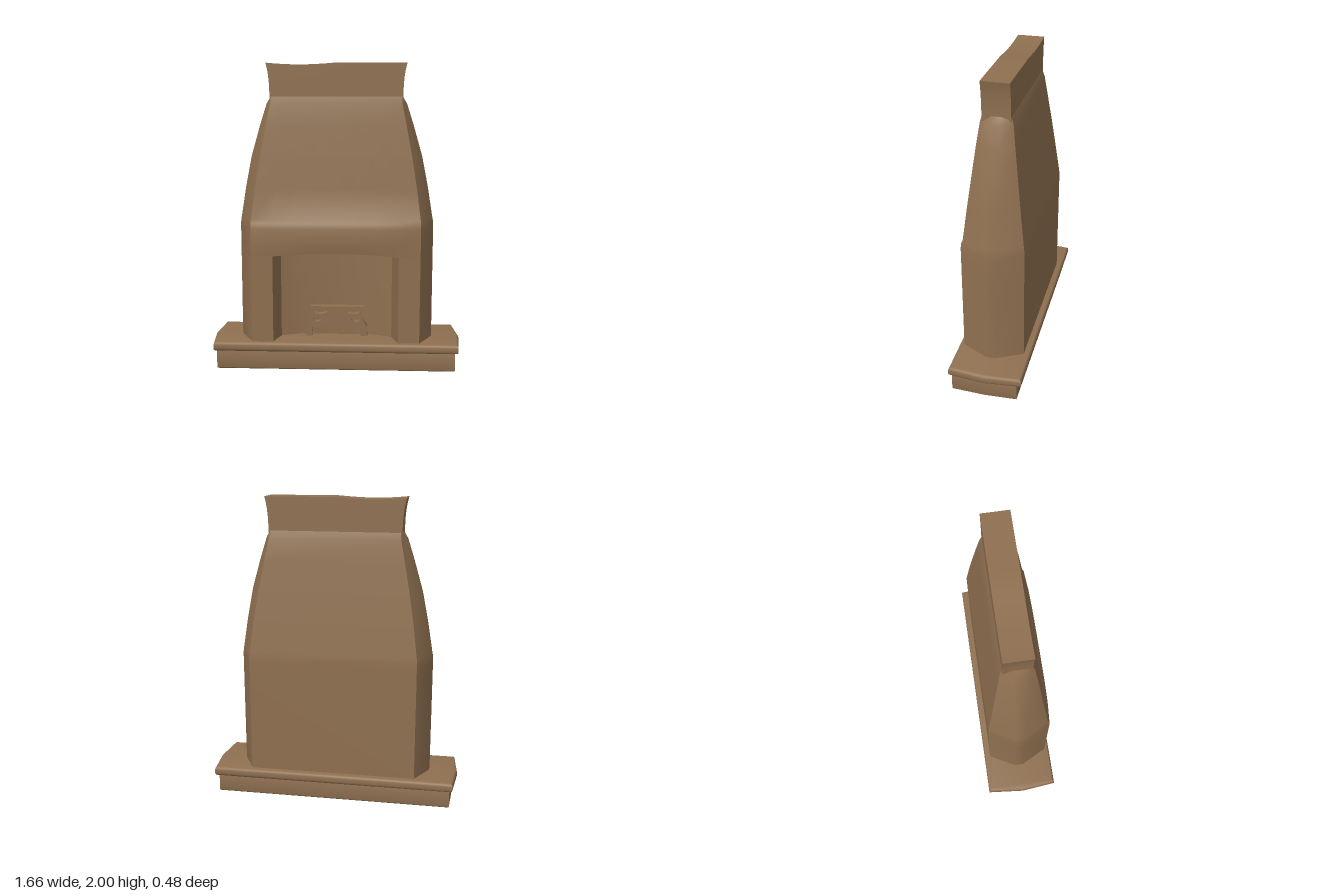
import * as THREE from 'three';
import { toCreasedNormals } from 'three/addons/utils/BufferGeometryUtils.js';

const clay = new THREE.MeshStandardMaterial({ color: 0x8f7050 });
clay.name = 'brown clay';

function add(group, name, geometry, crease = 0.6) {
  const mesh = new THREE.Mesh(toCreasedNormals(geometry, crease), clay);
  mesh.name = name;
  group.add(mesh);
  return mesh;
}

// Extrudes a floor plan of [x, z] points upwards from y0 to y1, with optional rounded edges
function extrudePlan(points, y0, y1, bevel = 0) {
  const shape = new THREE.Shape(points.map(([x, z]) => new THREE.Vector2(x, -z)));
  const geo = new THREE.ExtrudeGeometry(shape, {
    depth: y1 - y0 - 2 * bevel, bevelEnabled: bevel > 0, bevelSize: bevel,
    bevelThickness: bevel, bevelOffset: -bevel, bevelSegments: 3,
  });
  return geo.rotateX(-Math.PI / 2).translate(0, y0 + bevel, 0);
}

// Joins equal rings of [x, y, z] points, bottom to top, and closes both ends
function loft(rings) {
  const n = rings[0].length, pos = rings.flat(2), index = [];
  for (let i = 0; i < rings.length - 1; i++) {
    for (let j = 0; j < n; j++) {
      const k = (j + 1) % n, a = i * n + j, b = i * n + k;
      index.push(a, b, b + n, a, b + n, a + n);
    }
  }
  const low = rings.length * n, last = (rings.length - 1) * n;
  pos.push(0, rings[0][n - 1][1], 0, 0, rings[rings.length - 1][n - 1][1], 0);
  for (let j = 0; j < n; j++) {
    const k = (j + 1) % n;
    index.push(low, k, j, low + 1, last + j, last + k);
  }
  const geo = new THREE.BufferGeometry();
  geo.setAttribute('position', new THREE.Float32BufferAttribute(pos, 3));
  geo.setIndex(index);
  return geo;
}

// Ring of the hood: pointed ends, bulging front for the mantel, arched lower edge
function hoodRing([y, tip, corner, front, back, bulge], row) {
  const ring = [];
  for (const t of [-1, -0.75, -0.5, -0.25, 0, 0.25, 0.5, 0.75, 1]) {
    const arch = row === 0 ? 0.02 * Math.max(0, 1 - (t / 0.75) ** 2) : 0;
    ring.push([t * corner, y + arch, front + bulge * (1 - t ** 4)]);
  }
  ring.push([tip, y, 0.03], [tip, y, -0.03], [corner, y, -back]);
  ring.push([-corner, y, -back], [-tip, y, -0.03], [-tip, y, 0.03]);
  return ring;
}

export function createModel() {
  const group = new THREE.Group();
  group.name = 'fireplace';

  // Hearth: plinth and overhanging rounded slab with bowed ends
  add(group, 'plinth', extrudePlan(
    [[-0.785, 0.22], [0.785, 0.22], [0.795, 0], [0.785, -0.21], [-0.785, -0.21], [-0.795, 0]], 0, 0.14, 0.008));
  add(group, 'hearthSlab', extrudePlan(
    [[-0.805, 0.237], [0.805, 0.237], [0.828, 0], [0.805, -0.243], [-0.805, -0.243], [-0.828, 0]], 0.122, 0.185, 0.02));

  // Walls around the firebox, with splayed inner cheeks
  const half = [[0.24, 0.02], [0.37, 0.07], [0.41, 0.205], [0.55, 0.205], [0.64, 0.03], [0.64, -0.03], [0.55, -0.2]];
  const mirrored = half.map(([x, z]) => [-x, z]).reverse();
  add(group, 'fireboxWalls', extrudePlan([...half, ...mirrored], 0.17, 0.765));

  // Mantel and tapering hood: y, tip x, corner x, front z, back z, bulge
  const rows = [
    [0.76, 0.64, 0.55, 0.205, 0.2, 0.006],
    [0.83, 0.64, 0.55, 0.205, 0.2, 0.014],
    [0.94, 0.64, 0.55, 0.205, 0.2, 0.015],
    [0.975, 0.638, 0.55, 0.2, 0.199, 0.01],
    [1.0, 0.633, 0.548, 0.19, 0.196, 0],
    [1.2, 0.6, 0.522, 0.167, 0.171, 0],
    [1.4, 0.56, 0.49, 0.143, 0.146, 0],
    [1.6, 0.502, 0.453, 0.119, 0.12, 0],
    [1.74, 0.457, 0.425, 0.1, 0.102, 0],
    [1.785, 0.43, 0.42, 0.088, 0.088, 0],
  ];
  add(group, 'hood', loft(rows.map(hoodRing)));

  // Chimney cap: flares at the top, its upper face sags slightly
  const cap = new THREE.BoxGeometry(0.86, 0.25, 0.176, 14, 6, 1).translate(0, 1.875, 0);
  const p = cap.attributes.position;
  for (let i = 0; i < p.count; i++) {
    const x = p.getX(i), t = (p.getY(i) - 1.75) / 0.25;
    const sag = 0.012 * Math.max(0, 1 - ((x + 0.22) / 0.21) ** 2);
    p.setX(i, x * (1 + 0.055 * t ** 3));
    if (t > 0.99) p.setY(i, 2 - sag);
  }
  add(group, 'chimneyCap', cap);

  // Fire grate: arched plate with slots, standing against the back wall
  const plate = new THREE.Shape([
    [-0.205, 0.18], [-0.165, 0.18], [-0.16, 0.245], [0.16, 0.245], [0.165, 0.18], [0.21, 0.18],
    [0.205, 0.255], [0.175, 0.3], [0.182, 0.39], [-0.172, 0.39], [-0.172, 0.3], [-0.2, 0.255],
  ].map(([x, y]) => new THREE.Vector2(x, y)));
  for (const side of [-1, 1]) {
    for (const [x, y, rx, ry] of [[0.11, 0.355, 0.048, 0.018], [0.13, 0.302, 0.028, 0.02]]) {
      plate.holes.push(new THREE.Path().absellipse(side * x, y, rx, ry, 0, Math.PI * 2, true));
    }
  }
  const grate = new THREE.ExtrudeGeometry(plate, { depth: 0.05, bevelEnabled: false, curveSegments: 8 });
  add(group, 'fireGrate', grate.translate(0, 0, 0.015));

  return group;
}
